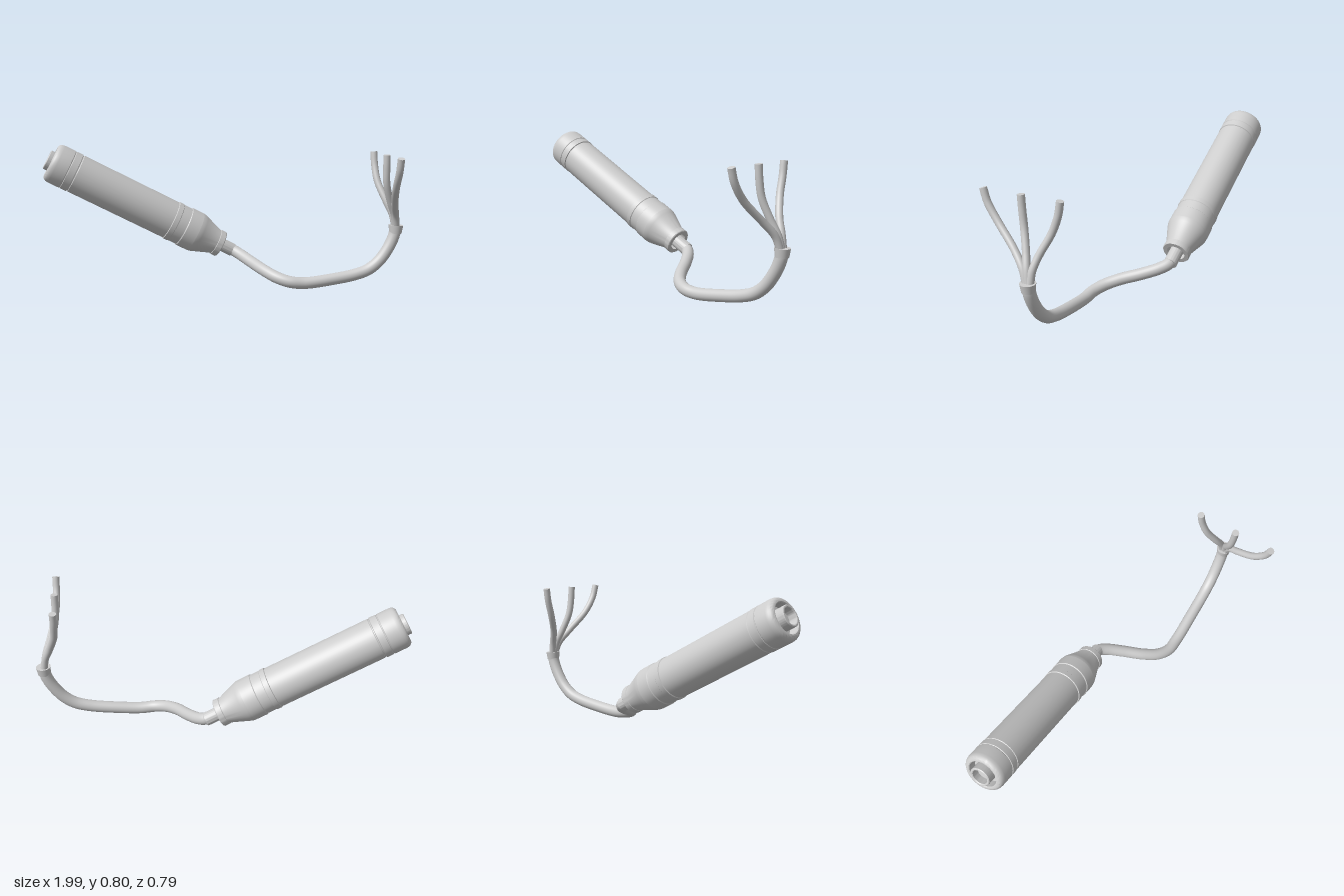
import * as THREE from 'three';
import { toCreasedNormals } from 'three/addons/utils/BufferGeometryUtils.js';

const v3 = (p) => new THREE.Vector3(...p);

export function createModel() {
  const model = new THREE.Group();
  model.name = 'handpieceWithCable';
  const grey = new THREE.MeshStandardMaterial({ color: 0xcccccc });
  grey.name = 'light grey';

  function add(parent, name, geometry) {
    const mesh = new THREE.Mesh(geometry, grey);
    mesh.name = name;
    parent.add(mesh);
    return mesh;
  }

  // Turned part: pairs of [radius, distance along the axis]
  function turned(parent, name, profile) {
    const points = profile.map(([r, s]) => new THREE.Vector2(r, s));
    return add(parent, name, toCreasedNormals(new THREE.LatheGeometry(points, 64), 0.5));
  }

  // Round wire through points, closed with a disc at both ends
  function wire(name, points, radius, segments) {
    const group = new THREE.Group();
    group.name = name;
    const curve = new THREE.CatmullRomCurve3(points.map(v3), false, 'centripetal');
    add(group, name + 'Sleeve', new THREE.TubeGeometry(curve, segments, radius, 24));
    for (const [t, sign] of [[0, -1], [1, 1]]) {
      const cap = add(group, name + 'End', new THREE.CircleGeometry(radius, 24));
      cap.position.copy(curve.getPoint(t));
      cap.quaternion.setFromUnitVectors(new THREE.Vector3(0, 0, 1), curve.getTangent(t).multiplyScalar(sign));
    }
    model.add(group);
  }

  // Handle, leaning from its socket end down to the cable outlet
  const head = v3([-0.95, 0.71, -0.283]);
  const tail = v3([0.013, 0.208, -0.262]);
  const handle = new THREE.Group();
  handle.name = 'handle';
  handle.position.copy(head);
  handle.quaternion.setFromUnitVectors(new THREE.Vector3(0, 1, 0), tail.clone().sub(head).normalize());
  model.add(handle);

  turned(handle, 'socketTube', [
    [0, 0.02], [0.043, 0.02], [0.043, -0.02], [0.047, -0.024],
    [0.053, -0.024], [0.057, -0.02], [0.057, 0.06],
  ]);
  turned(handle, 'headCap', [
    [0.05, 0.05], [0.08, 0.05], [0.08, 0.004], [0.084, 0], [0.092, 0], [0.1, 0.003],
    [0.107, 0.01], [0.112, 0.02], [0.114, 0.035], [0.114, 0.1], [0.111, 0.103],
  ]);
  turned(handle, 'headBand', [[0.111, 0.1], [0.111, 0.106], [0.114, 0.108], [0.114, 0.145], [0.109, 0.148]]);
  turned(handle, 'barrel', [[0.109, 0.145], [0.109, 0.152], [0.112, 0.155], [0.112, 0.755]]);
  turned(handle, 'rearBands', [
    [0.11, 0.755], [0.116, 0.758], [0.116, 0.785], [0.113, 0.788], [0.113, 0.84],
    [0.117, 0.844], [0.117, 0.915],
  ]);
  turned(handle, 'rearCone', [
    [0.117, 0.915], [0.1155, 0.928], [0.111, 0.943], [0.074, 1.045], [0.074, 1.05],
    [0.077, 1.052], [0.077, 1.082], [0.074, 1.086], [0.051, 1.086], [0.051, 1.05], [0, 1.05],
  ]);
  turned(handle, 'cableNub', [[0.037, 1.05], [0.037, 1.163], [0.034, 1.166], [0, 1.166]]);

  // Main cable, sweeping forward then up to the ferrule
  wire('mainCable', [
    [0.045, 0.19, -0.261], [0.085, 0.172, -0.255], [0.12, 0.152, -0.22], [0.17, 0.121, -0.135],
    [0.225, 0.09, -0.03], [0.28, 0.064, 0.04], [0.345, 0.045, 0.076], [0.425, 0.036, 0.082],
    [0.6, 0.053, 0.082], [0.72, 0.073, 0.082], [0.8, 0.1, 0.082], [0.865, 0.151, 0.082],
    [0.92, 0.23, 0.082], [0.946, 0.29, 0.082], [0.954, 0.33, 0.082],
  ], 0.033, 140);

  // Flared ferrule where the cable splits
  const ferrule = add(model, 'ferrule', new THREE.CylinderGeometry(0.041, 0.035, 0.046, 40));
  ferrule.position.set(0.955, 0.327, 0.083);
  ferrule.rotation.z = -0.06;

  // Three leads fanning out sideways on a shared x/y path
  const path = [
    [0.953, 0.335], [0.938, 0.41], [0.907, 0.485], [0.873, 0.59], [0.865, 0.68], [0.863, 0.755],
  ];
  const fans = {
    frontLead: [0.095, 0.122, 0.185, 0.29, 0.353, 0.378],
    middleLead: [0.084, 0.098, 0.118, 0.145, 0.157, 0.162],
    backLead: [0.073, 0.066, 0.043, -0.008, -0.04, -0.053],
  };
  for (const [name, zs] of Object.entries(fans)) {
    wire(name, path.map(([x, y], i) => [x, y, zs[i]]), 0.0195, 60);
  }
  return model;
}
